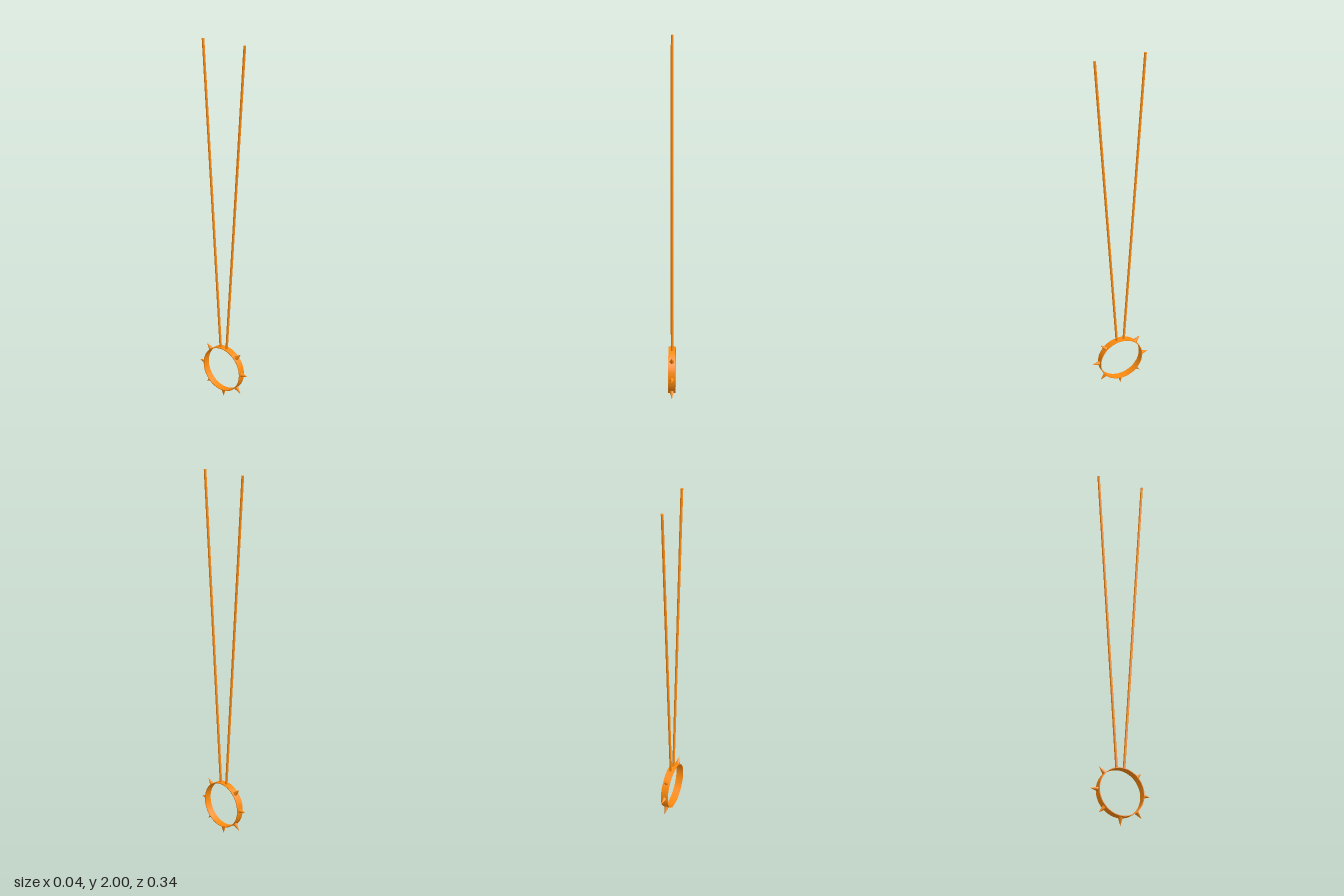
import * as THREE from 'three';

const RING_Y = 0.174, RING_R = 0.1275, RING_HALF = 0.02, WALL = 0.004;

export function createModel() {
  const model = new THREE.Group();
  model.name = 'spikedRingPendant';
  const material = new THREE.MeshStandardMaterial({ color: 0xff8c10 });

  const add = (name, geometry, parent = model) => {
    const mesh = new THREE.Mesh(geometry, material);
    mesh.name = name;
    parent.add(mesh);
    return mesh;
  };

  // Thin flat band, its axis along x
  const band = new THREE.Shape().absarc(0, 0, RING_R, 0, Math.PI * 2);
  band.holes.push(new THREE.Path().absarc(0, 0, RING_R - WALL, 0, Math.PI * 2, true));
  const bandGeometry = new THREE.ExtrudeGeometry(band, {
    depth: RING_HALF * 2, bevelEnabled: false, curveSegments: 64,
  });
  bandGeometry.translate(0, 0, -RING_HALF).rotateY(Math.PI / 2);
  add('ring', bandGeometry).position.y = RING_Y;

  // Seven spikes around the band, leaving the top free for the cords
  const spikes = new THREE.Group();
  spikes.name = 'spikes';
  spikes.position.y = RING_Y;
  model.add(spikes);
  const spikeLength = 0.044;
  const spikeGeometry = new THREE.ConeGeometry(0.0125, spikeLength, 24);
  spikeGeometry.translate(0, RING_R - 0.002 + spikeLength / 2, 0);
  for (let i = 1; i < 8; i++) {
    add('spike' + i, spikeGeometry, spikes).rotation.x = (i * Math.PI) / 4;
  }
  // The bottom spike reaches the ground
  spikes.children[3].scale.y = RING_Y / (RING_R - 0.002 + spikeLength);

  // Two straight cords spreading upward from the ring
  for (const side of [1, -1]) {
    const foot = new THREE.Vector3(0, 0.297, side * 0.021);
    const tip = new THREE.Vector3(0, 2, side * 0.136);
    const direction = tip.clone().sub(foot);
    const cord = add(side > 0 ? 'frontCord' : 'backCord',
      new THREE.CylinderGeometry(0.0068, 0.0068, direction.length(), 20));
    cord.position.copy(foot).add(tip).multiplyScalar(0.5);
    cord.quaternion.setFromUnitVectors(new THREE.Vector3(0, 1, 0), direction.normalize());
  }

  return model;
}
